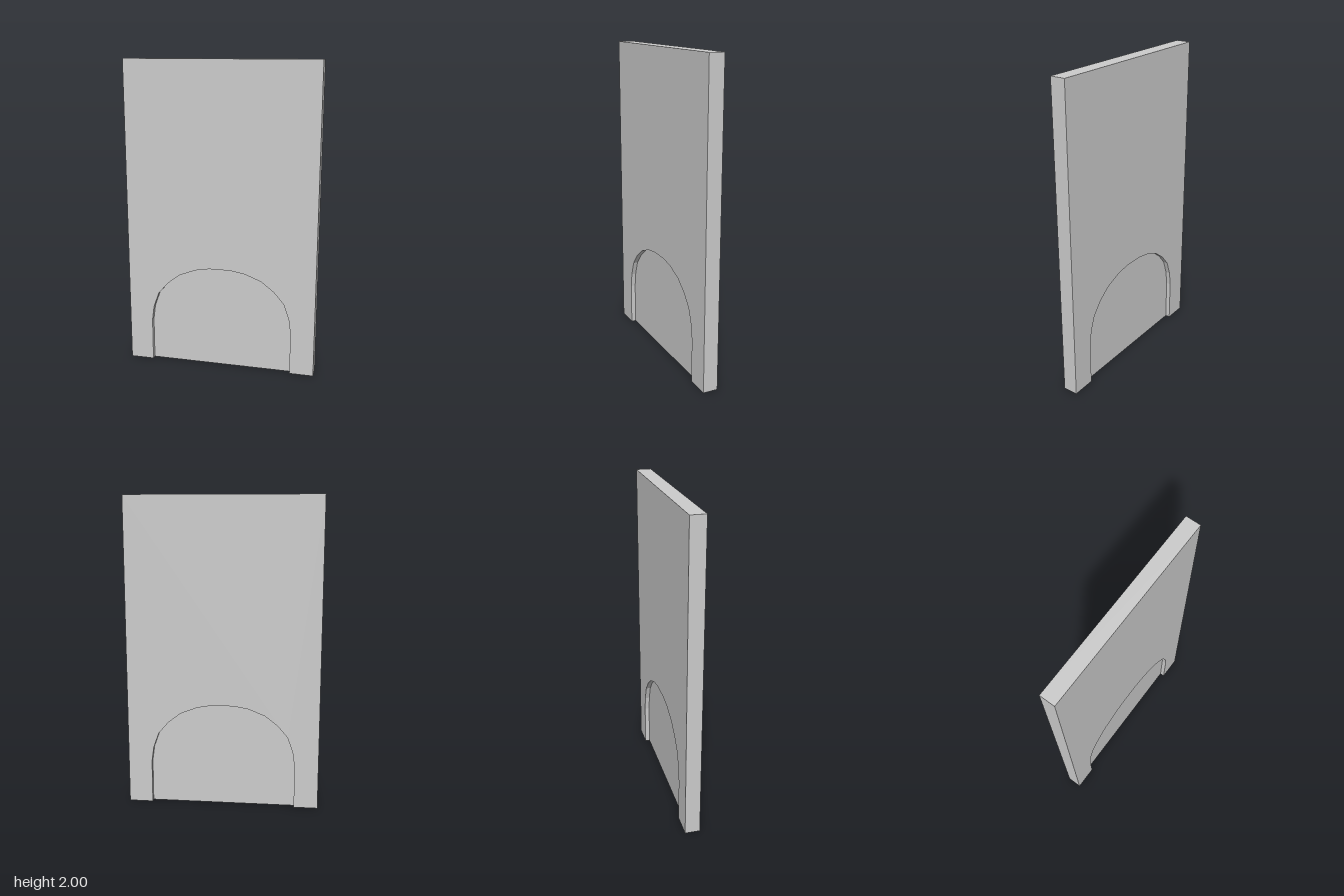
import * as THREE from 'three';

const W = 0.622, H = 2, DEPTH = 0.095, PANEL = 0.035;

// Right half of the arch, from the floor up to the crown
const ARCH = [[0.468, 0], [0.468, 0.28], [0.455, 0.376], [0.42, 0.474], [0.355, 0.55],
  [0.272, 0.614], [0.163, 0.656], [0.07, 0.672]];

// Full arch outline, right foot to left foot
function archPoints() {
  const right = ARCH.map(([x, y]) => new THREE.Vector2(x, y));
  const left = ARCH.map(([x, y]) => new THREE.Vector2(-x, y)).reverse();
  return [...right, ...left];
}

function slab(name, points, depth, material) {
  const geometry = new THREE.ExtrudeGeometry(new THREE.Shape(points), { depth, bevelEnabled: false });
  geometry.translate(0, 0, -depth / 2);
  const mesh = new THREE.Mesh(geometry, material);
  mesh.name = name;
  return mesh;
}

export function createModel() {
  const group = new THREE.Group();
  group.name = 'archedSlab';
  const material = new THREE.MeshStandardMaterial({ color: 0xcccccc, flatShading: true });

  // Thick slab with an arched opening cut up from its foot
  const outline = [
    new THREE.Vector2(W, 0), new THREE.Vector2(W, H),
    new THREE.Vector2(-W, H), new THREE.Vector2(-W, 0),
    ...archPoints().reverse(),
  ];
  group.add(slab('slab', outline, DEPTH, material));

  // Thin panel closing the arch, recessed on both faces
  group.add(slab('recessedPanel', archPoints(), PANEL, material));

  return group;
}
